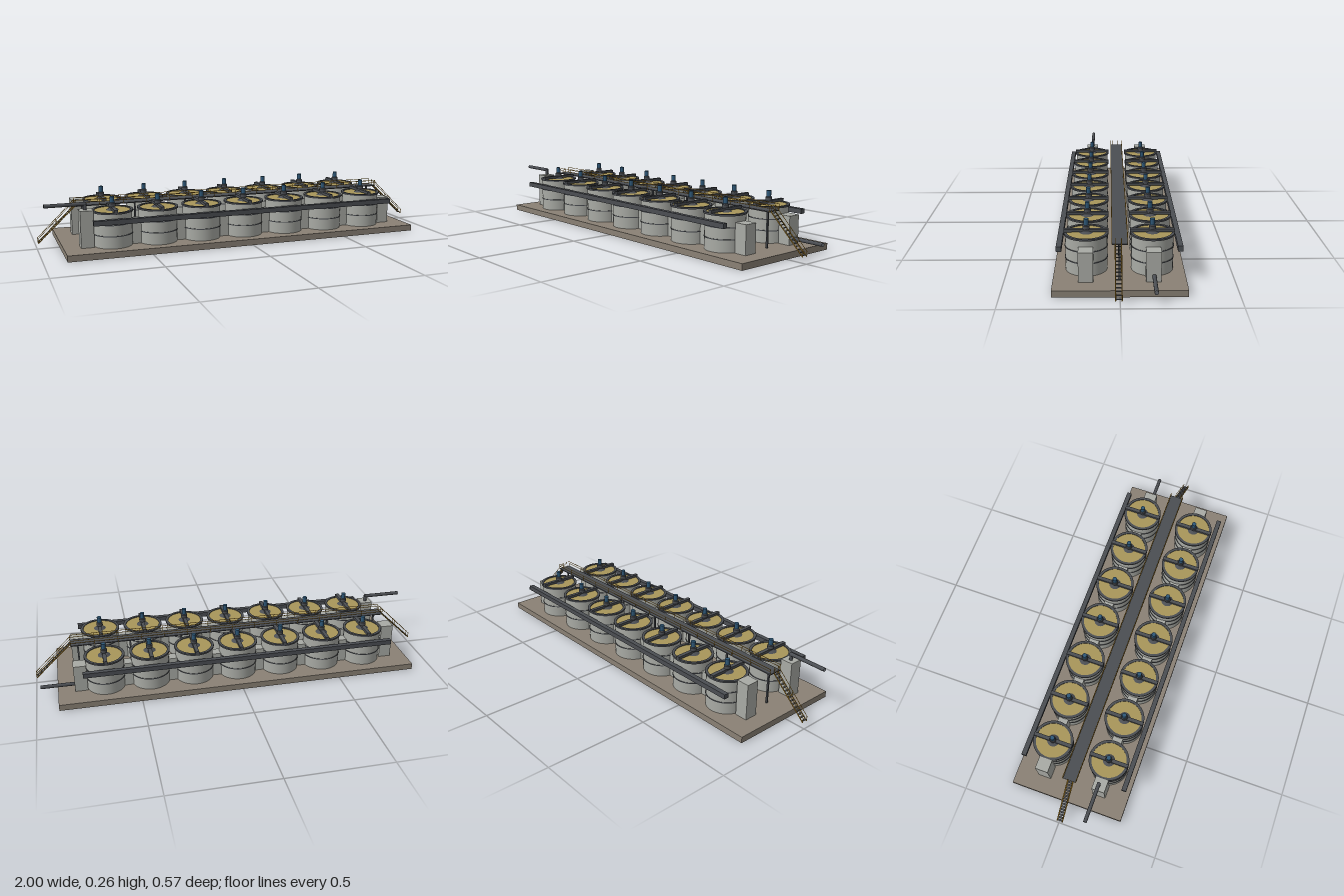
import * as THREE from 'three';

const mat = (name, color, side = THREE.FrontSide) => {
  const m = new THREE.MeshStandardMaterial({ color, side });
  m.name = name;
  return m;
};

export function createModel() {
  const concrete = mat('concrete', 0x8a8175);
  const tankGrey = mat('tank grey', 0xa9aba5);
  const steel = mat('dark steel', 0x4b4e53, THREE.DoubleSide);
  const froth = mat('froth', 0xa8965a);
  const blue = mat('motor blue', 0x2f5878);
  const yellow = mat('rail yellow', 0xc4922a);

  const model = new THREE.Group();
  model.name = 'flotationPlant';

  const add = (parent, name, geo, material, x = 0, y = 0, z = 0) => {
    const mesh = new THREE.Mesh(geo, material);
    mesh.name = name;
    mesh.position.set(x, y, z);
    parent.add(mesh);
    return mesh;
  };
  // box given by centre x, z and its bottom and top heights
  const box = (parent, name, material, x, z, w, d, y0, y1) =>
    add(parent, name, new THREE.BoxGeometry(w, y1 - y0, d), material, x, (y0 + y1) / 2, z);
  // straight bar between two points
  const bar = (parent, name, material, a, b, r, sides = 6, open = false) => {
    const p = new THREE.Vector3(...a), q = new THREE.Vector3(...b);
    const dir = q.clone().sub(p);
    const mesh = add(parent, name, new THREE.CylinderGeometry(r, r, dir.length(), sides, 1, open), material);
    mesh.position.copy(p).add(q).multiplyScalar(0.5);
    mesh.quaternion.setFromUnitVectors(new THREE.Vector3(0, 1, 0), dir.normalize());
    return mesh;
  };

  box(model, 'baseSlab', concrete, 0, 0, 1.79, 0.57, 0, 0.03);

  // one stirred tank, standing on the slab
  const ring = (r0, r1, y0, y1) => new THREE.LatheGeometry(
    [[r0, y0], [r1, y0], [r1, y0], [r1, y1], [r1, y1], [r0, y1], [r0, y1], [r0, y0]]
      .map(([x, y]) => new THREE.Vector2(x, y)), 40);
  const shellGeo = new THREE.CylinderGeometry(0.092, 0.092, 0.165, 40, 1, true);
  const bandGeo = ring(0.091, 0.0945, -0.002, 0.002);
  const rimGeo = ring(0.085, 0.098, 0.193, 0.201);
  const frothGeo = new THREE.CylinderGeometry(0.086, 0.086, 0.004, 40);
  const hubGeo = new THREE.CylinderGeometry(0.016, 0.03, 0.008, 24);
  const gearGeo = new THREE.CylinderGeometry(0.016, 0.016, 0.015, 12);
  const gearTopGeo = new THREE.CylinderGeometry(0.012, 0.016, 0.004, 12);
  const motorGeo = new THREE.CylinderGeometry(0.011, 0.011, 0.028, 16);
  const makeTank = (x, z) => {
    const tank = new THREE.Group();
    tank.name = 'tank';
    tank.position.set(x, 0, z);
    add(tank, 'tankShell', shellGeo, tankGrey, 0, 0.1125, 0);
    for (const y of [0.088, 0.141]) add(tank, 'tankBand', bandGeo, steel, 0, y, 0);
    add(tank, 'tankRim', rimGeo, steel);
    add(tank, 'frothSurface', frothGeo, froth, 0, 0.195, 0);
    box(tank, 'bridgeBeam', steel, 0, 0, 0.018, 0.194, 0.201, 0.214);
    add(tank, 'hub', hubGeo, steel, 0, 0.202, 0);
    add(tank, 'gearbox', gearGeo, steel, 0, 0.2215, 0);
    add(tank, 'gearboxTop', gearTopGeo, steel, 0, 0.231, 0);
    add(tank, 'motor', motorGeo, blue, 0, 0.247, 0);
    model.add(tank);
  };

  // two rows of seven tanks with link boxes, end boxes and launder
  for (const side of [1, -1]) {
    const z = side * 0.144;
    for (let i = -3; i <= 3; i++) {
      makeTank(i * 0.22, z);
      if (i < 3) box(model, 'linkBox', tankGrey, (i + 0.5) * 0.22, z, 0.06, 0.05, 0.03, 0.15);
    }
    box(model, 'feedBox', tankGrey, -0.785, z, 0.062, 0.064, 0.03, 0.206);
    box(model, 'dischargeBox', tankGrey, 0.782, z, 0.062, 0.064, 0.03, 0.165);
    box(model, 'launder', steel, 0, side * 0.258, 1.54, 0.023, 0.152, 0.175);
  }

  // feed pipe above the front row, tailings pipe low behind
  bar(model, 'feedPipe', steel, [-0.975, 0.234, 0.14], [-0.782, 0.234, 0.14], 0.009, 12, true);
  bar(model, 'feedDrop', steel, [-0.787, 0.238, 0.14], [-0.787, 0.2, 0.14], 0.008, 12);
  bar(model, 'tailingsPipe', steel, [0.8, 0.057, -0.146], [0.975, 0.057, -0.146], 0.009, 12, true);

  // central walkway on posts, with handrails
  box(model, 'walkwayDeck', steel, 0, 0, 1.63, 0.066, 0.2, 0.205);
  for (let i = 0; i <= 6; i++)
    box(model, 'walkwayColumn', steel, -0.78 + i * 0.26, 0, 0.008, 0.008, 0.03, 0.2);
  for (const z of [0.033, -0.033]) {
    for (const y of [0.219, 0.231])
      bar(model, 'handrail', yellow, [-0.815, y, z], [0.815, y, z], 0.0014);
    for (let i = 0; i <= 14; i++) {
      const x = -0.815 + i * 1.63 / 14;
      bar(model, 'railPost', yellow, [x, 0.203, z], [x, 0.232, z], 0.0013);
    }
  }

  // stairs at both ends
  const steps = 15;
  for (const s of [1, -1]) {
    for (const z of [0.019, -0.007]) {
      bar(model, 'stairStringer', yellow, [s * 0.815, 0.202, z], [s * 0.995, 0.032, z], 0.0025);
      bar(model, 'stairRail', yellow, [s * 0.815, 0.23, z], [s * 0.998, 0.052, z], 0.0013);
      for (const t of [0, 0.5, 1]) {
        const x = s * (0.816 + t * 0.179), y = 0.202 - t * 0.17;
        bar(model, 'stairPost', yellow, [x, y, z], [x, y + 0.025, z], 0.0013);
      }
    }
    for (let i = 0; i < steps; i++) {
      const t = (i + 0.5) / steps, y = 0.202 - t * 0.17;
      box(model, 'stairTread', steel, s * (0.815 + t * 0.18), 0.006, 0.009, 0.026, y - 0.001, y + 0.001);
    }
  }
  return model;
}
